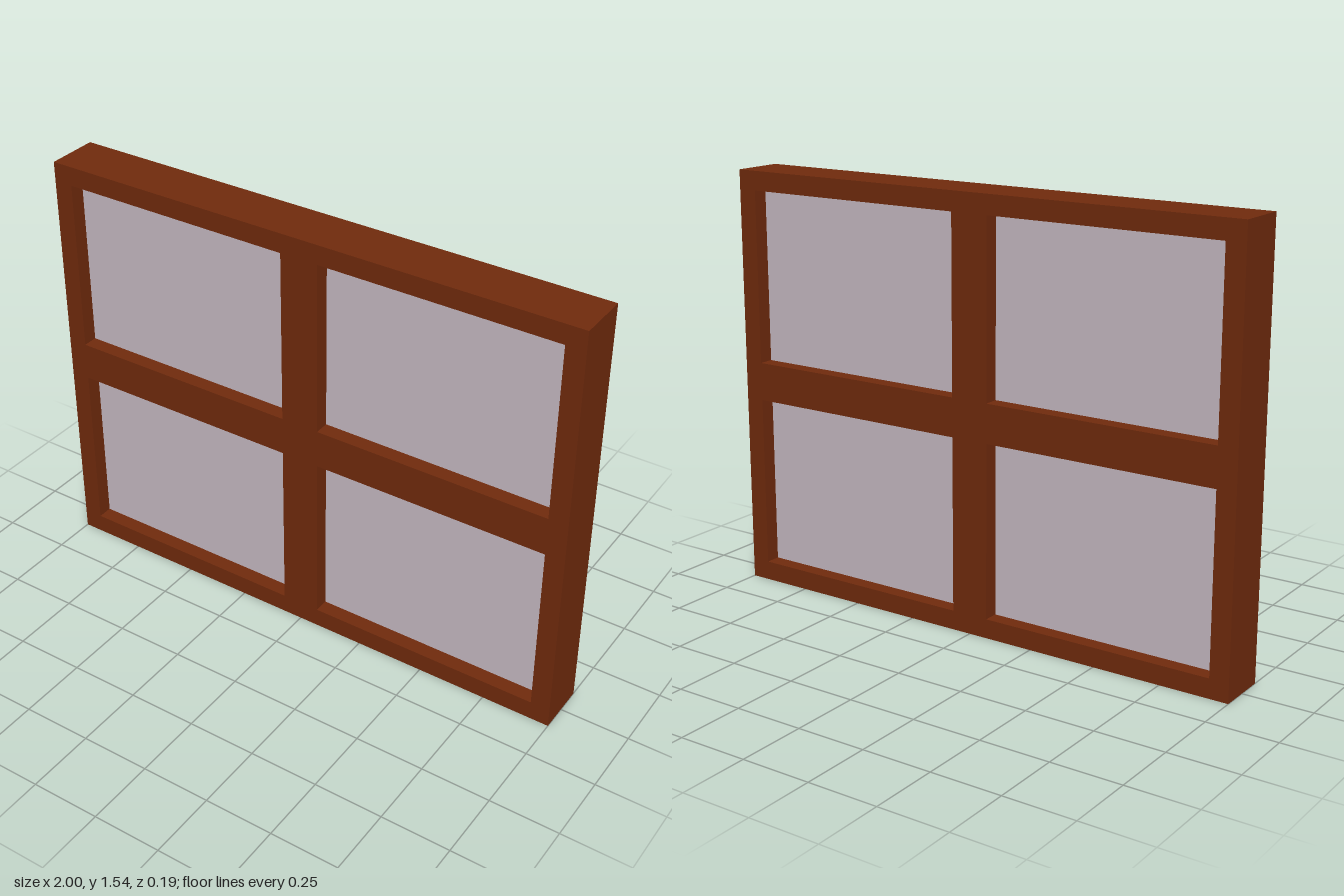
import * as THREE from 'three';

export function createModel() {
  const wood = new THREE.MeshStandardMaterial({ color: 0x722b0d });
  wood.name = 'brown wood';
  const glass = new THREE.MeshStandardMaterial({ color: 0xc9bcc5 });
  glass.name = 'pale glass';

  const W = 2, H = 1.54, D = 0.19, RIM = 0.07;
  const paneW = W / 2 - 2 * RIM, paneH = H / 2 - 2 * RIM, paneD = 0.08;

  const rect = (Type, cx, cy, w, h) => new Type([
    new THREE.Vector2(cx - w / 2, cy - h / 2),
    new THREE.Vector2(cx + w / 2, cy - h / 2),
    new THREE.Vector2(cx + w / 2, cy + h / 2),
    new THREE.Vector2(cx - w / 2, cy + h / 2),
  ]);

  const group = new THREE.Group();
  group.name = 'window';
  const outline = rect(THREE.Shape, 0, H / 2, W, H);

  // Four panes, each set midway in the depth of its opening
  for (const [side, sx] of [['Left', 1], ['Right', -1]]) {
    for (const [level, sy] of [['upper', 1], ['lower', -1]]) {
      const x = sx * W / 4, y = H / 2 + sy * H / 4;
      outline.holes.push(rect(THREE.Path, x, y, paneW, paneH));
      const pane = new THREE.Mesh(new THREE.BoxGeometry(paneW, paneH, paneD), glass);
      pane.name = level + side + 'Pane';
      pane.position.set(x, y, 0);
      group.add(pane);
    }
  }

  // Frame with its crossing bars, cut through by the openings
  const geometry = new THREE.ExtrudeGeometry(outline, { depth: D, bevelEnabled: false });
  geometry.translate(0, 0, -D / 2);
  const frame = new THREE.Mesh(geometry, wood);
  frame.name = 'frame';
  group.add(frame);
  return group;
}
